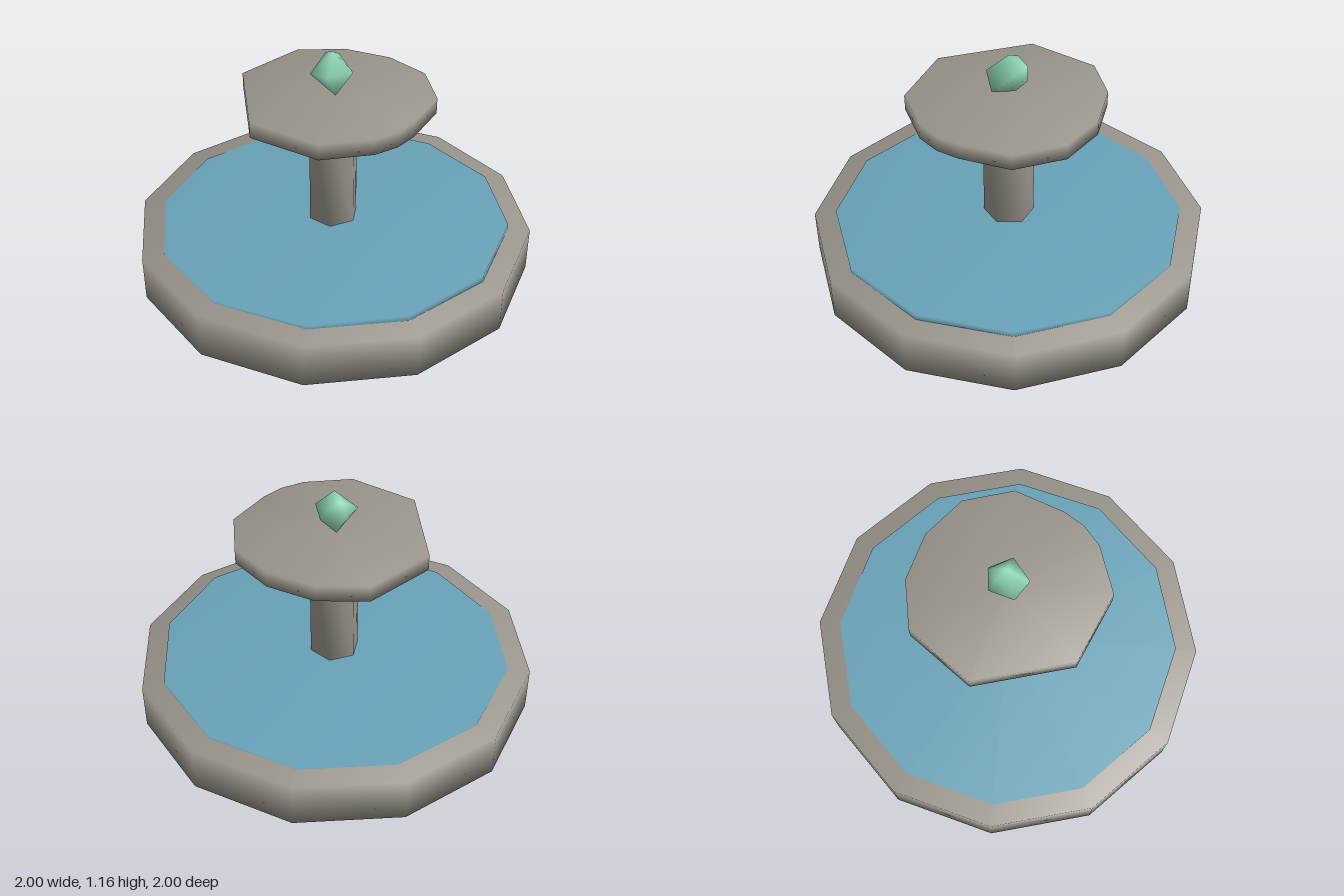
import * as THREE from 'three';
import { mergeVertices } from 'three/addons/utils/BufferGeometryUtils.js';
import { ConvexGeometry } from 'three/addons/geometries/ConvexGeometry.js';

const stone = new THREE.MeshStandardMaterial({ name: 'stone', color: 0x9a958b });
const waterBlue = new THREE.MeshStandardMaterial({ name: 'water', color: 0x68a2b8 });
const gemGreen = new THREE.MeshStandardMaterial({ name: 'gem', color: 0x8fd8b6 });

// Regular polygon outline as [x, z] pairs
function ring(sides, radius, turn = 0) {
  return Array.from({ length: sides }, (_, i) => {
    const a = turn + (i / sides) * Math.PI * 2;
    return [Math.cos(a) * radius, Math.sin(a) * radius];
  });
}

// Closed prism over an outline, with shared vertices for soft shading;
// top is a function of x and z
function prism(outline, bottom, top) {
  const n = outline.length;
  const pos = [];
  const index = [];
  for (const [x, z] of outline) pos.push(x, bottom, z, x, top(x, z), z);
  pos.push(0, bottom, 0, 0, top(0, 0), 0);
  for (let i = 0; i < n; i++) {
    const j = (i + 1) % n;
    const [bi, ti, bj, tj] = [2 * i, 2 * i + 1, 2 * j, 2 * j + 1];
    index.push(bi, ti, tj, bi, tj, bj);
    index.push(2 * n, bi, bj, 2 * n + 1, tj, ti);
  }
  const g = new THREE.BufferGeometry();
  g.setAttribute('position', new THREE.Float32BufferAttribute(pos, 3));
  g.setIndex(index);
  g.computeVertexNormals();
  return g;
}

// Small irregular crystal with softened facets
function gemGeometry() {
  const points = [
    [0, 0.105, 0], [0.1, -0.01, 0], [0.085, 0.05, -0.03], [0.035, 0, -0.1],
    [0.02, 0.075, -0.06], [-0.09, 0, -0.07], [-0.1, 0.015, 0.04],
    [0.03, 0.01, 0.095], [-0.06, -0.085, 0.06], [0.02, -0.105, -0.03],
  ].map((p) => new THREE.Vector3(...p));
  let g = new ConvexGeometry(points);
  g.deleteAttribute('normal');
  g = mergeVertices(g);
  g.computeVertexNormals();
  return g;
}

export function createModel() {
  const model = new THREE.Group();
  model.name = 'fountain';
  const add = (name, geometry, material) => {
    const mesh = new THREE.Mesh(geometry, material);
    mesh.name = name;
    model.add(mesh);
    return mesh;
  };

  // Twelve-sided basin
  add('basin', prism(ring(12, 1), 0, () => 0.23), stone);

  // Water, rising slightly towards the front
  const waterTop = (x, z) => 0.25 + 0.016 * z - 0.011 * Math.abs(x);
  add('water', prism(ring(12, 0.89), 0.2, waterTop), waterBlue);

  // Six-sided pillar
  add('pillar', prism(ring(6, 0.127, Math.PI / 2), 0.2, () => 0.88), stone);

  // Upper dish with a rough, chipped outline
  const dish = [
    [0.47, 0], [0.43, 0.24], [0.25, 0.43], [0, 0.47], [-0.12, 0.465], [-0.24, 0.42],
    [-0.43, 0.25], [-0.47, -0.12], [-0.12, -0.475], [0.25, -0.43], [0.41, -0.24],
  ];
  add('upperDish', prism(dish, 0.87, () => 0.95), stone);

  // Gem resting on the dish
  add('gem', gemGeometry(), gemGreen).position.y = 1.06;

  return model;
}
